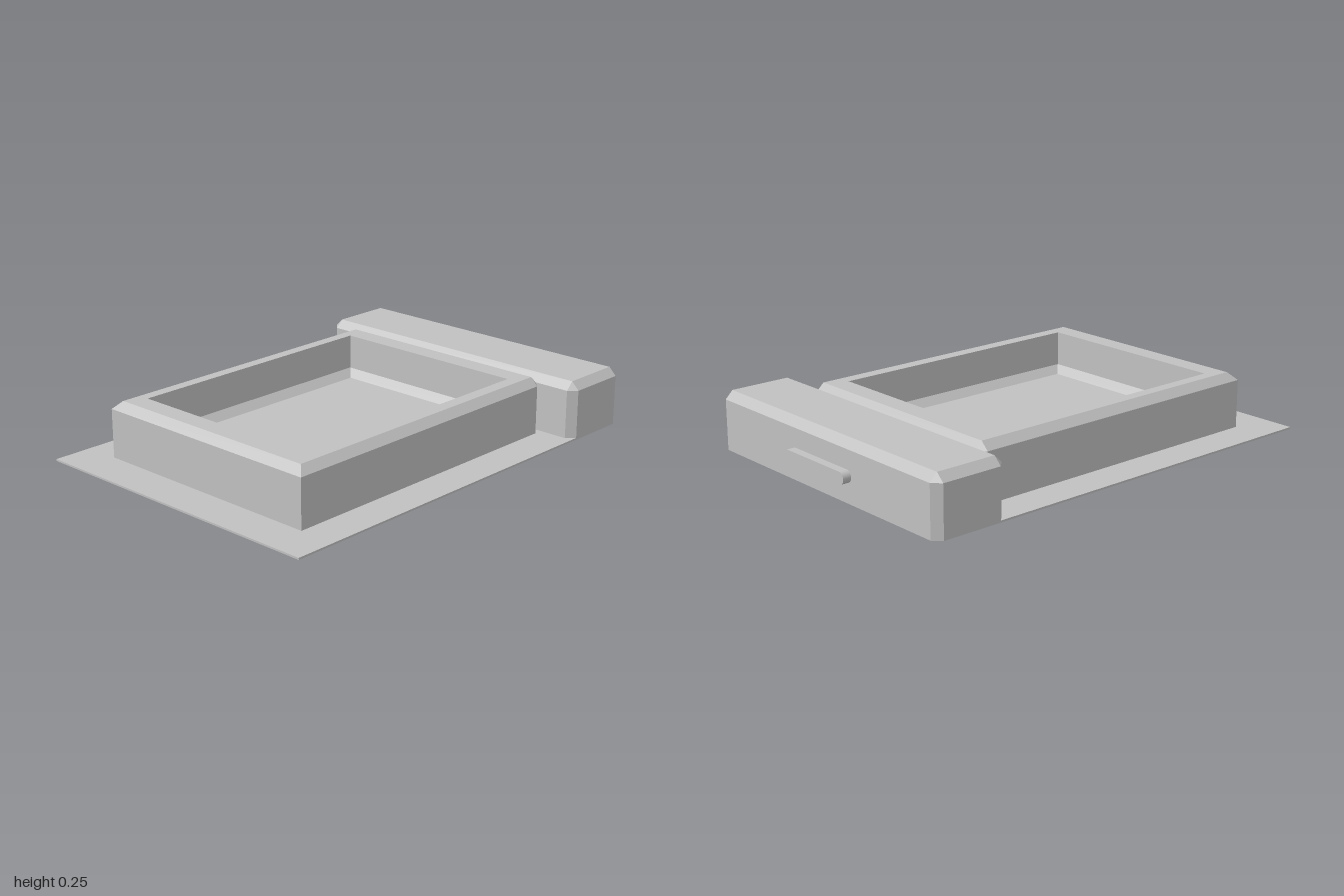
import * as THREE from 'three';

// Rectangle outline at height y, counter-clockwise from above;
// cutL / cutR chamfer the left and right corners.
function outline(y, x0, x1, z0, z1, cutL = 0, cutR = 0) {
  return [
    [x1 - cutR, y, z1], [x1, y, z1 - cutR],
    [x1, y, z0 + cutR], [x1 - cutR, y, z0],
    [x0 + cutL, y, z0], [x0, y, z0 + cutL],
    [x0, y, z1 - cutL], [x0 + cutL, y, z1],
  ].map((p) => new THREE.Vector3(...p));
}

// Closed, flat-faced solid skinned through successive outlines
function loft(loops) {
  const points = [];
  const tri = (a, b, c) => {
    const area = b.clone().sub(a).cross(c.clone().sub(a)).length();
    if (area > 1e-8) points.push(a, b, c);
  };
  for (let k = 0; k < loops.length - 1; k++) {
    const a = loops[k], b = loops[k + 1];
    for (let i = 0; i < a.length; i++) {
      const j = (i + 1) % a.length;
      tri(a[i], a[j], b[j]);
      tri(a[i], b[j], b[i]);
    }
  }
  const first = loops[0], last = loops[loops.length - 1];
  for (let i = 1; i < first.length - 1; i++) {
    tri(first[0], first[i + 1], first[i]);
    tri(last[0], last[i], last[i + 1]);
  }
  const geometry = new THREE.BufferGeometry().setFromPoints(points);
  geometry.computeVertexNormals();
  return geometry;
}

export function createModel() {
  const group = new THREE.Group();
  const grey = new THREE.MeshStandardMaterial({ color: 0xc0c0c0 });
  grey.name = 'plain grey';

  const add = (name, geometry) => {
    const mesh = new THREE.Mesh(geometry, grey);
    mesh.name = name;
    group.add(mesh);
    return mesh;
  };

  const top = 0.253, bevel = 0.034, shoulder = top - bevel;

  // Thin sheet under everything
  const plate = add('basePlate', new THREE.BoxGeometry(1.66, 0.008, 1.4));
  plate.position.set(-0.17, 0.004, 0);

  // Tray: bevelled rim, straight recess walls, sloped strip around the floor
  add('tray', loft([
    outline(0.004, -0.826, 0.62, -0.543, 0.54, 0, bevel),
    outline(shoulder, -0.826, 0.62, -0.543, 0.54, 0, bevel),
    outline(top, -0.826 + bevel, 0.62 - bevel, -0.543 + bevel, 0.54 - bevel),
    outline(top, -0.705, 0.497, -0.46, 0.45),
    outline(0.1, -0.705, 0.497, -0.46, 0.45),
    outline(0.066, -0.671, 0.463, -0.426, 0.416),
  ]));

  // Side block with every upright and top edge bevelled
  add('sideBlock', loft([
    outline(0, 0.625, 0.963, -0.7, 0.7, bevel, bevel),
    outline(shoulder, 0.625, 0.963, -0.7, 0.7, bevel, bevel),
    outline(top, 0.625 + bevel, 0.963 - bevel, -0.7 + bevel, 0.7 - bevel),
  ]));

  // Round-ended handle bar on the outer face of the block
  const r = 0.026, half = 0.195 - r;
  const bar = new THREE.Shape();
  bar.absarc(half, 0, r, -Math.PI / 2, Math.PI / 2, false);
  bar.absarc(-half, 0, r, Math.PI / 2, Math.PI * 1.5, false);
  const handle = add('handle', new THREE.ExtrudeGeometry(bar, {
    depth: 0.05, bevelEnabled: false, curveSegments: 12,
  }));
  handle.rotation.y = Math.PI / 2;
  handle.position.set(0.95, 0.111, 0);

  return group;
}
